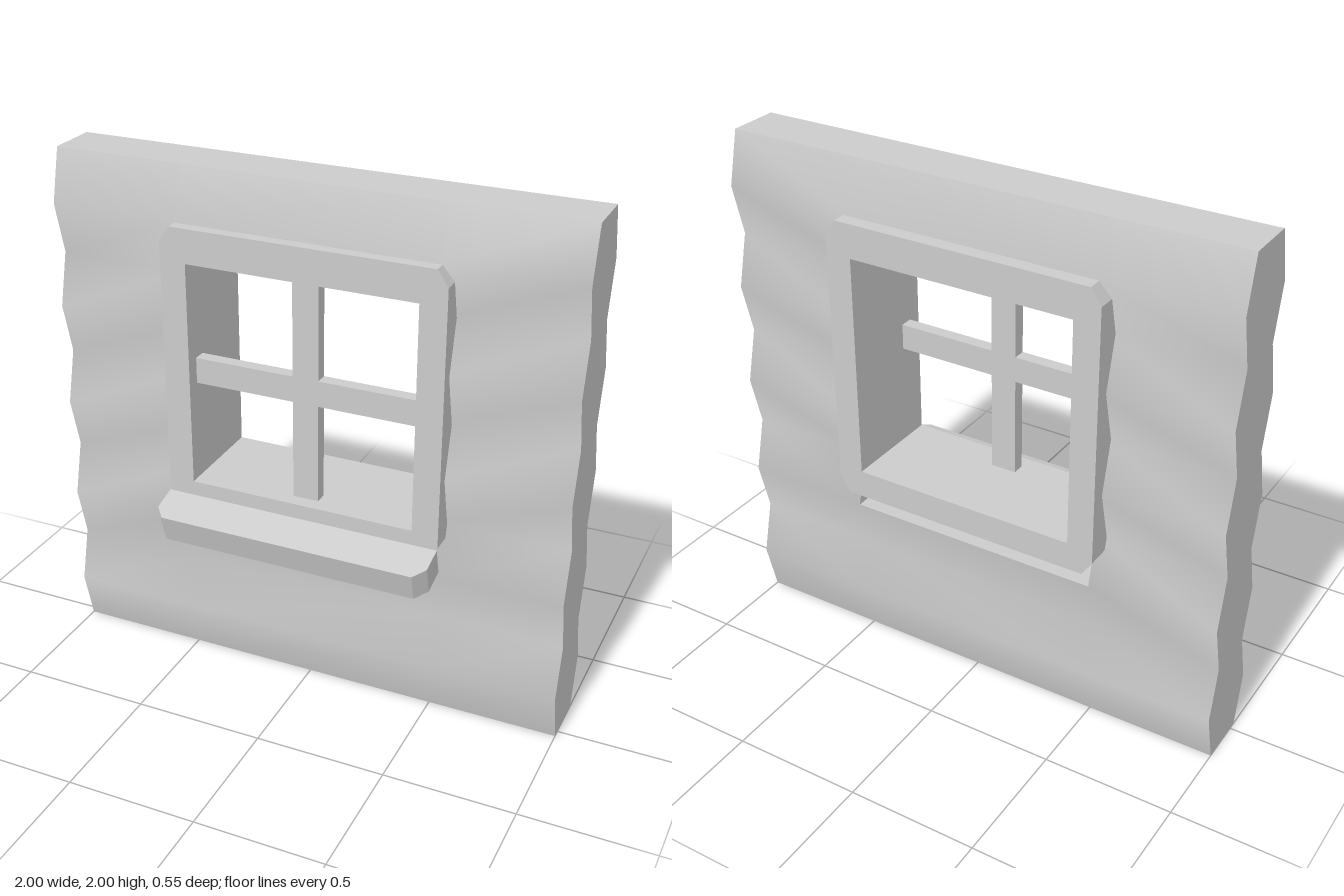
import * as THREE from 'three';

const gray = new THREE.MeshStandardMaterial({ color: 0xcccccc });
gray.name = 'plain gray';

const STEP = 0.2, ROWS = 10, MID_Z = -0.07;
const COLS = [-1, -0.5, 0.5, 1];
const HOLE_FROM = 3, HOLE_TO = 9; // rows of the window opening

// half thickness of the rippled wall at row j
const half = (j) => (j % 2 ? 0.15 : 0.1);

function add(group, name, geometry) {
  const mesh = new THREE.Mesh(geometry, gray);
  mesh.name = name;
  group.add(mesh);
  return mesh;
}

// rippled wall face with the window opening; side is 1 (front) or -1 (back)
function wallFace(side) {
  const pos = [], index = [], n = COLS.length;
  for (let j = 0; j <= ROWS; j++)
    for (const x of COLS) pos.push(x, j * STEP, MID_Z + side * half(j));
  for (let j = 0; j < ROWS; j++) {
    for (let i = 0; i < n - 1; i++) {
      if (i === 1 && j >= HOLE_FROM && j < HOLE_TO) continue;
      const a = j * n + i, b = a + 1, c = b + n, d = a + n;
      if (side > 0) index.push(a, b, c, a, c, d);
      else index.push(a, c, b, a, d, c);
    }
  }
  const g = new THREE.BufferGeometry();
  g.setAttribute('position', new THREE.Float32BufferAttribute(pos, 3));
  g.setIndex(index);
  g.computeVertexNormals();
  return g;
}

// faces joining front and back around a rectangle; dir -1 turns them inward
function rim(x, from, to, dir) {
  const path = [];
  for (let j = from; j <= to; j++) path.push([x, j]);
  for (let j = to; j >= from; j--) path.push([-x, j]);
  path.push([x, from]);
  if (dir < 0) path.reverse();
  const pos = [];
  const point = ([px, j], s) => [px, j * STEP, MID_Z + s * half(j)];
  for (let k = 0; k < path.length - 1; k++) {
    const a = point(path[k], 1), b = point(path[k], -1);
    const c = point(path[k + 1], -1), d = point(path[k + 1], 1);
    pos.push(...a, ...b, ...c, ...a, ...c, ...d);
  }
  const g = new THREE.BufferGeometry();
  g.setAttribute('position', new THREE.Float32BufferAttribute(pos, 3));
  g.computeVertexNormals();
  return g;
}

const outline = (points) => new THREE.Shape(points.map(([x, y]) => new THREE.Vector2(x, y)));
const extrude = (shape, depth) => new THREE.ExtrudeGeometry(shape, { depth, bevelEnabled: false });

export function createModel() {
  const model = new THREE.Group();
  model.name = 'windowWall';

  // wall
  const wall = new THREE.Group();
  wall.name = 'wall';
  model.add(wall);
  add(wall, 'wallFront', wallFace(1));
  add(wall, 'wallBack', wallFace(-1));
  add(wall, 'wallEdges', rim(1, 0, ROWS, 1));
  add(wall, 'openingSides', rim(0.5, HOLE_FROM, HOLE_TO, -1));

  // frame with clipped corners
  const frame = outline([
    [-0.5, 0.69], [0.5, 0.69], [0.54, 0.75], [0.54, 1.74],
    [0.5, 1.8], [-0.5, 1.8], [-0.54, 1.74], [-0.54, 0.75],
  ]);
  frame.holes.push(outline([[-0.44, 0.8], [-0.44, 1.67], [0.44, 1.67], [0.44, 0.8]]));
  add(model, 'windowFrame', extrude(frame, 0.4)).position.z = -0.275;

  // crossing bars
  add(model, 'verticalBar', new THREE.BoxGeometry(0.1, 0.88, 0.05)).position.set(0, 1.235, 0.045);
  for (const s of [-1, 1])
    add(model, 'horizontalBar', new THREE.BoxGeometry(0.395, 0.1, 0.05)).position.set(s * 0.2475, 1.237, 0.045);

  // sloping sill with clipped front corners
  const sill = outline([
    [-0.54, 0], [0.54, 0], [0.54, 0.1], [0.5, 0.15], [-0.5, 0.15], [-0.54, 0.1],
  ]);
  const sillGeometry = extrude(sill, 0.11);
  sillGeometry.rotateX(Math.PI / 2 + THREE.MathUtils.degToRad(15));
  add(model, 'windowSill', sillGeometry).position.set(0, 0.745, 0.13);

  return model;
}
